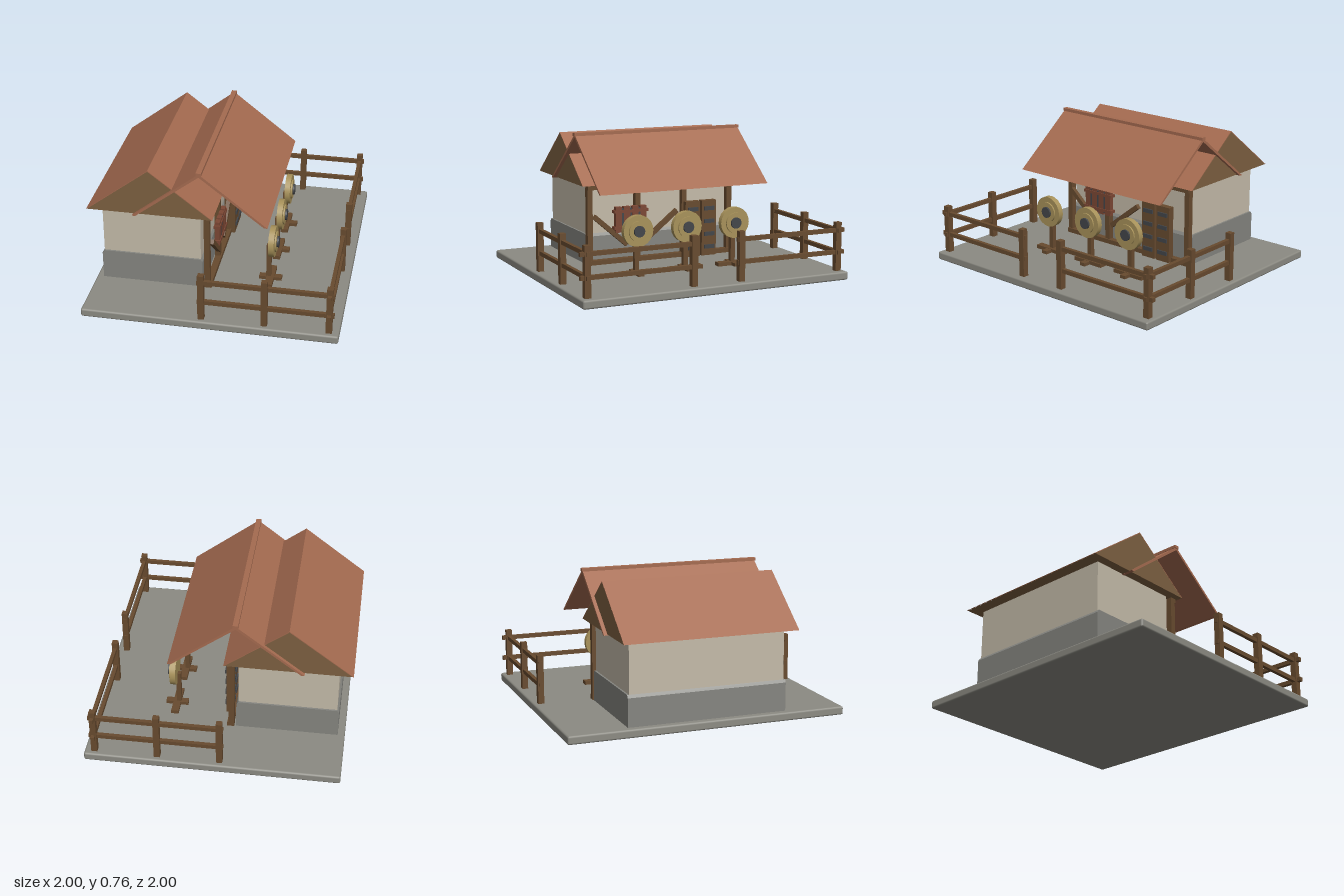
import * as THREE from 'three';
import { RoundedBoxGeometry } from 'three/addons/geometries/RoundedBoxGeometry.js';

const mat = (name, color) => new THREE.MeshStandardMaterial({ name, color });

export function createModel() {
  const M = {
    stone: mat('paving stone', 0x8c8b83),
    plinth: mat('plinth stone', 0x858580),
    plaster: mat('plaster', 0xc4bba9),
    roof: mat('terracotta', 0xa56b50),
    gable: mat('gable wood', 0x7d6041),
    wood: mat('dark wood', 0x684b2f),
    straw: mat('straw', 0xa8925a),
    iron: mat('iron', 0x43464a),
    red: mat('red wood', 0x7c4734),
  };
  const model = new THREE.Group();
  model.name = 'archeryYard';
  // The yard is laid out square, then turned 45 degrees
  const yard = new THREE.Group();
  yard.name = 'yard';
  yard.rotation.y = Math.PI / 4;
  model.add(yard);

  const add = (name, geo, material, x = 0, y = 0, z = 0, parent = yard) => {
    const m = new THREE.Mesh(geo, material);
    m.name = name;
    m.position.set(x, y, z);
    parent.add(m);
    return m;
  };
  const box = (name, material, w, h, d, x, y, z, parent) =>
    add(name, new THREE.BoxGeometry(w, h, d), material, x, y, z, parent);
  const group = (name, x = 0, y = 0, z = 0) => {
    const g = new THREE.Group();
    g.name = name;
    g.position.set(x, y, z);
    yard.add(g);
    return g;
  };
  // Extrude a [z, y] profile along x, centred on x = 0
  const alongX = (points, length) => {
    const shape = new THREE.Shape(points.map(p => new THREE.Vector2(...p)));
    return new THREE.ExtrudeGeometry(shape, { depth: length, bevelEnabled: false })
      .translate(0, 0, -length / 2).rotateY(-Math.PI / 2);
  };
  const chevron = (half, eave, ridge, t, length) => alongX([
    [-half, eave], [-half + t, eave], [0, ridge - t], [half - t, eave], [half, eave], [0, ridge],
  ], length);

  // Ground slab
  const G = 0.045;
  add('groundSlab', new RoundedBoxGeometry(1.5, G, 1.335, 1, 0.01), M.stone, 0, G / 2, 0);

  // House body
  box('plinth', M.plinth, 0.86, 0.15, 0.54, 0, G + 0.075, -0.36);
  add('plinthCap', alongX([[-0.27, 0], [0.27, 0], [0.26, 0.015], [-0.26, 0.015]], 0.86),
    M.plinth, 0, G + 0.15, -0.36);
  box('walls', M.plaster, 0.84, 0.44, 0.52, 0, 0.265, -0.36);

  // Rear roof: solid timber gable with a thin tile skin
  add('rearGable', alongX([[-0.327, 0.48], [0.327, 0.48], [0, 0.731]], 0.938), M.gable, 0, 0, -0.36);
  add('rearTiles', chevron(0.333, 0.48, 0.736, 0.005, 0.938), M.roof, 0, 0, -0.36);

  // Front roof: open tiled canopy with a ridge cap
  add('frontTiles', chevron(0.353, 0.476, 0.753, 0.018, 0.976), M.roof, 0, 0, -0.092);
  box('ridgeCap', M.roof, 0.985, 0.016, 0.028, 0, 0.752, -0.092);

  // Timber front frame
  for (const x of [-0.42, -0.14, 0.14, 0.42])
    box('framePost', M.wood, 0.03, 0.42, 0.03, x, G + 0.21, -0.065);
  box('frameSill', M.wood, 0.87, 0.025, 0.035, 0, G + 0.012, -0.06);
  box('frameBeam', M.wood, 0.87, 0.025, 0.035, 0, 0.467, -0.06);

  // Diagonal braces on the front
  const brace = (x1, y1, x2, y2) => {
    const b = box('brace', M.wood, Math.hypot(x2 - x1, y2 - y1), 0.026, 0.022,
      (x1 + x2) / 2, (y1 + y2) / 2, -0.045);
    b.rotation.z = Math.atan2(y2 - y1, x2 - x1);
  };
  brace(-0.4, 0.31, -0.21, 0.145);
  brace(-0.1, 0.16, 0.09, 0.31);

  // Red slatted rack on the wall
  const rack = group('wallRack', -0.19, 0.285, -0.04);
  for (let i = 0; i < 4; i++)
    box('rackSlat', M.red, 0.036, 0.14, 0.026, (i - 1.5) * 0.048, 0, 0, rack);
  for (const y of [-0.045, 0.045]) box('rackRail', M.red, 0.2, 0.016, 0.034, 0, y, 0, rack);
  for (let i = 0; i < 3; i++)
    box('rackBar', M.iron, 0.012, 0.12, 0.024, (i - 1) * 0.048, 0, 0, rack);

  // Tall double locker with iron bands
  const locker = group('locker', 0.23, G, -0.04);
  for (const s of [-1, 1]) {
    box('lockerDoor', M.wood, 0.088, 0.31, 0.035, s * 0.05, 0.155, 0, locker);
    for (let i = 0; i < 4; i++)
      box('lockerBand', M.iron, 0.062, 0.022, 0.05, s * 0.05, 0.05 + i * 0.072, 0, locker);
  }

  // Archery targets
  for (const x of [-0.283, 0, 0.283]) {
    const t = group('target', x, 0, 0.25);
    box('targetFoot', M.wood, 0.19, 0.02, 0.04, 0, G + 0.01, 0, t);
    box('targetFootCross', M.wood, 0.035, 0.018, 0.12, 0, G + 0.009, 0, t);
    box('targetPost', M.wood, 0.025, 0.2, 0.025, 0, G + 0.11, -0.01, t);
    const disc = (name, r, d, m, z) =>
      add(name, new THREE.CylinderGeometry(r, r, d, 20).rotateX(Math.PI / 2), m, 0, 0.278, z, t);
    disc('targetDisc', 0.084, 0.03, M.straw, 0.01);
    disc('targetInnerDisc', 0.055, 0.01, M.straw, 0.028);
    disc('bullseye', 0.03, 0.016, M.iron, 0.035);
  }

  // Fence
  const post = (x, z) => box('fencePost', M.wood, 0.032, 0.26, 0.032, x, G + 0.13, z);
  for (const s of [-1, 1]) {
    for (const z of [-0.04, 0.285, 0.615]) post(s * 0.71, z);
    post(s * 0.134, 0.615);
    for (const y of [0.145, 0.262]) {
      box('frontRail', M.wood, 0.635, 0.022, 0.02, s * 0.43, y, 0.615);
      box('sideRail', M.wood, 0.02, 0.022, 0.7, s * 0.71, y, 0.29);
    }
  }
  return model;
}
